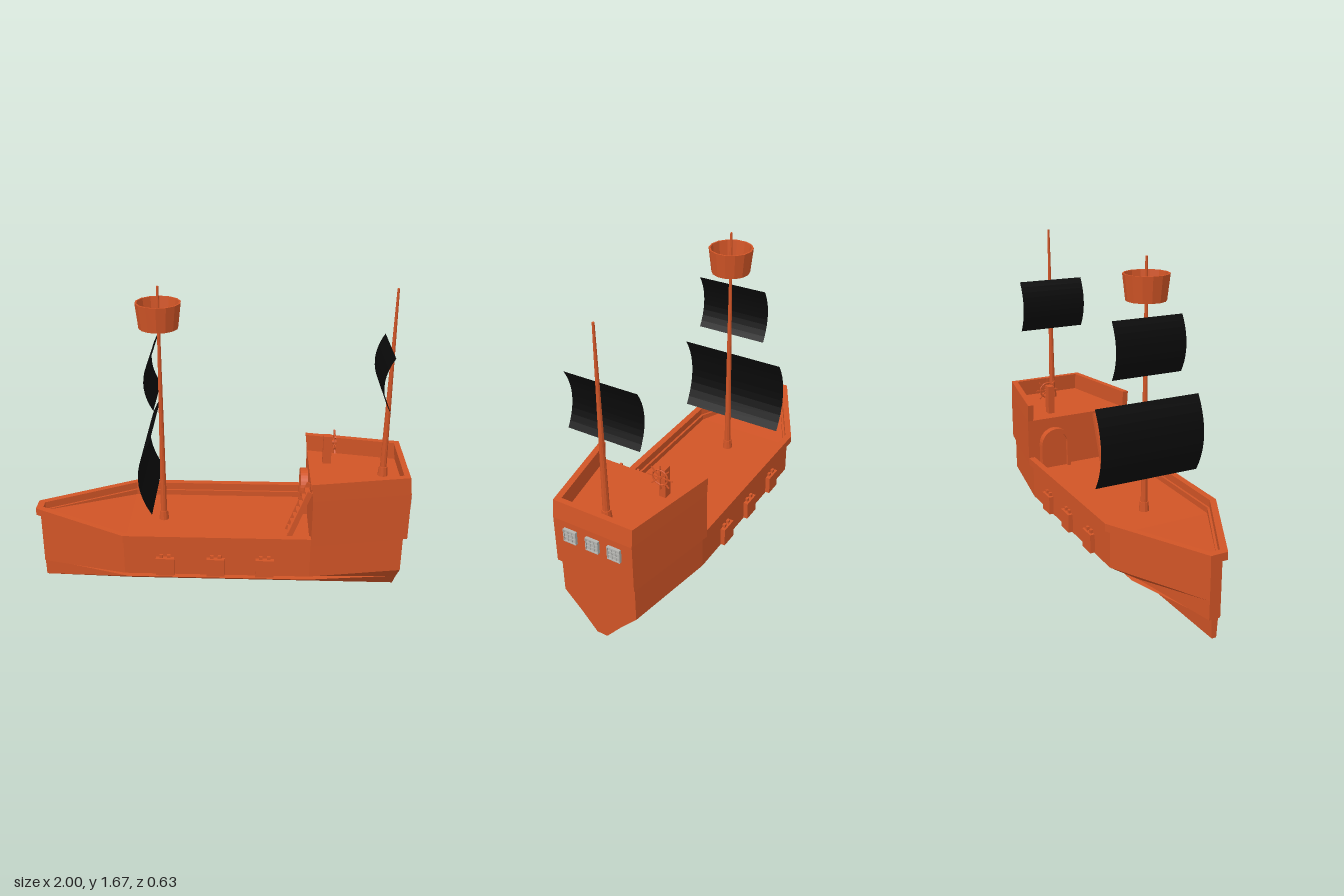
import * as THREE from 'three';

const paint = (color) => new THREE.MeshStandardMaterial({ color, flatShading: true, side: THREE.DoubleSide });

// Stations along the hull (bow to stern) for main hull and overhanging rail
const HULL_X = [-0.98, -0.49, 0.48, 0.965];
const HULL_W = [0.03, 0.29, 0.29, 0.21];
const RAIL_X = [-1, -0.49, 0.48, 0.985];
const RAIL_W = [0.045, 0.315, 0.315, 0.22];

// Mirrored deck outline: +z side bow to stern, then back along -z
function outline(xs, ws) {
  const half = xs.map((x, i) => new THREE.Vector2(x, ws[i]));
  return [...half, ...half.map((p) => new THREE.Vector2(p.x, -p.y)).reverse()];
}

// Upright prism from a plan outline, with optional hole
function prism(points, y0, y1, hole) {
  const shape = new THREE.Shape(points);
  if (hole) shape.holes.push(new THREE.Path(hole));
  const g = new THREE.ExtrudeGeometry(shape, { depth: y1 - y0, bevelEnabled: false });
  return g.rotateX(-Math.PI / 2).translate(0, y0, 0);
}

// Hull skin through levels of { y, w }, capped above and below
function loft(levels) {
  const rings = levels.map(({ y, w, bowY = y }) =>
    outline(HULL_X, w).map((p) => [p.x, p.x < -0.9 ? bowY : y, p.y]));
  const pos = [];
  const quad = (a, b, c, d) => pos.push(...a, ...b, ...c, ...a, ...c, ...d);
  for (let k = 0; k + 1 < rings.length; k++) {
    const lo = rings[k], hi = rings[k + 1];
    for (let i = 0; i < 8; i++) {
      const j = (i + 1) % 8;
      quad(lo[i], lo[j], hi[j], hi[i]);
    }
  }
  const bottom = rings[0], top = rings[rings.length - 1];
  for (let i = 0; i < 3; i++) {
    quad(top[i], top[i + 1], top[6 - i], top[7 - i]);
    quad(bottom[7 - i], bottom[6 - i], bottom[i + 1], bottom[i]);
  }
  const g = new THREE.BufferGeometry();
  g.setAttribute('position', new THREE.Float32BufferAttribute(pos, 3));
  g.computeVertexNormals();
  return g;
}

export function createModel() {
  const model = new THREE.Group();
  const wood = paint(0xd05426), cloth = paint(0x0a0a0a), glass = paint(0xb4b4b0);

  function add(name, geometry, x = 0, y = 0, z = 0, material = wood, parent = model) {
    const mesh = new THREE.Mesh(geometry, material);
    mesh.name = name;
    mesh.position.set(x, y, z);
    parent.add(mesh);
    return mesh;
  }
  function group(name, x, y, z) {
    const g = new THREE.Group();
    g.name = name;
    g.position.set(x, y, z);
    model.add(g);
    return g;
  }
  const box = (w, h, d) => new THREE.BoxGeometry(w, h, d);

  // Hull: keel tier, wider upper tier with the main deck on top
  add('keel', loft([
    { y: 0, w: [0.012, 0.03, 0.03, 0.03] },
    { y: 0.1, w: [0.018, 0.17, 0.17, 0.115] },
  ]));
  add('hull', loft([
    { y: 0.1, w: [0.03, 0.137, 0.137, 0.115] },
    { y: 0.2, w: HULL_W },
    { y: 0.37, w: HULL_W, bowY: 0.4 },
  ]));
  const well = [-0.95, -0.485, 0.48];
  add('bulwark', prism(outline(HULL_X, HULL_W), 0.37, 0.4, outline(well, [0.018, 0.268, 0.268])));
  add('rail', prism(outline(RAIL_X, RAIL_W), 0.4, 0.44, outline([-0.963, -0.487, 0.48], [0.025, 0.28, 0.28])));

  // Stern castle: solid block, then a U-shaped parapet open to the front
  const ox = RAIL_X.slice(2), ow = RAIL_W.slice(2);
  add('sternCastle', prism(outline(ox, ow), 0.44, 0.66));
  const parapet = prism([
    [0.48, 0.315], [0.985, 0.22], [0.985, -0.22], [0.48, -0.315],
    [0.48, -0.283], [0.955, -0.193], [0.955, 0.193], [0.48, 0.283],
  ].map(([x, z]) => new THREE.Vector2(x, z)), 0.66, 0.755);
  const pp = parapet.attributes.position;
  for (let i = 0; i < pp.count; i++) {
    if (pp.getY(i) > 0.7) pp.setX(i, pp.getX(i) - 0.011);
  }
  parapet.computeVertexNormals();
  add('parapet', parapet);

  // Stern windows with lattice bars
  for (const z of [0.122, -0.004, -0.125]) {
    const win = group('sternWindow', 0.985, 0.59, z);
    add('pane', box(0.016, 0.066, 0.066), 0, 0, 0, glass, win);
    for (const s of [-1, 1]) {
      add('frameSide', box(0.03, 0.07, 0.005), 0, 0, s * 0.033, glass, win);
      add('frameEdge', box(0.03, 0.005, 0.07), 0, s * 0.033, 0, glass, win);
      add('barUpright', box(0.024, 0.066, 0.004), 0, 0, s * 0.011, glass, win);
      add('barAcross', box(0.024, 0.004, 0.066), 0, s * 0.011, 0, glass, win);
    }
  }

  // Gun ports with hinges, three on each side
  for (const s of [-1, 1]) {
    for (const x of [-0.275, -0.01, 0.245]) {
      const port = group('gunPort', x, 0.255, s * 0.3);
      add('portLid', box(0.095, 0.1, 0.03), 0, 0, 0, wood, port);
      for (const h of [-0.02, 0.02]) add('hinge', box(0.018, 0.02, 0.016), h, 0.057, -s * 0.004, wood, port);
    }
  }

  // Arched door on the castle front
  const arch = (r, straight) => {
    const s = new THREE.Shape();
    s.moveTo(-r, 0);
    s.lineTo(r, 0);
    s.lineTo(r, straight);
    s.absarc(0, straight, r, 0, Math.PI, false);
    return s;
  };
  const frame = arch(0.088, 0.147);
  frame.holes.push(arch(0.068, 0.147));
  const door = group('door', 0.485, 0.368, -0.16);
  const slab = (shape, depth) => new THREE.ExtrudeGeometry(shape, { depth, bevelEnabled: false, curveSegments: 8 })
    .rotateY(-Math.PI / 2);
  add('doorFrame', slab(frame, 0.045), 0, 0, 0, wood, door);
  add('doorPanel', slab(arch(0.07, 0.147), 0.025), 0, 0, 0, wood, door);

  // Ladder leaning on the castle
  const ladder = group('ladder', 0.42, 0.51, 0.145);
  ladder.rotation.z = -0.36;
  for (const s of [-1, 1]) add('ladderRail', box(0.025, 0.3, 0.012), 0, 0, s * 0.052, wood, ladder);
  for (let i = 0; i < 7; i++) {
    add('rung', box(0.025, 0.01, 0.1), 0, -0.12 + i * 0.04, 0, wood, ladder).rotation.z = 0.36;
  }

  // Steering wheel on its post
  add('wheelPost', box(0.045, 0.16, 0.036), 0.578, 0.74, -0.137);
  const wheel = group('wheel', 0.615, 0.785, -0.137);
  add('wheelRim', new THREE.TorusGeometry(0.042, 0.005, 6, 16).rotateY(Math.PI / 2), 0, 0, 0, wood, wheel);
  add('wheelHub', new THREE.CylinderGeometry(0.01, 0.01, 0.035, 8).rotateZ(Math.PI / 2), -0.008, 0, 0, wood, wheel);
  for (let i = 0; i < 4; i++) {
    add('spoke', box(0.006, 0.136, 0.006), 0, 0, 0, wood, wheel).rotation.x = i * Math.PI / 4;
  }

  // Masts with sockets
  for (const [name, x, base] of [['foreMast', -0.305, 0.37], ['rearMast', 0.865, 0.66]]) {
    const h = 1.67 - base;
    add(name, new THREE.CylinderGeometry(0.006, 0.018, h, 10), x, base + h / 2, 0);
    add(name + 'Socket', new THREE.CylinderGeometry(0.022, 0.027, 0.05, 10), x, base + 0.025, 0);
  }

  // Crow's nest
  const tub = [[0, 1.46], [0.1, 1.46], [0.115, 1.59], [0.106, 1.59], [0.092, 1.475], [0, 1.475]];
  add('lookoutTub', new THREE.LatheGeometry(tub.map(([r, y]) => new THREE.Vector2(r, y)), 14), -0.305, 0, 0);

  // Sails bellying towards the bow
  function sail(name, x, y, w, h, belly) {
    const g = new THREE.PlaneGeometry(w, h, 1, 10).rotateY(Math.PI / 2);
    const p = g.attributes.position;
    for (let i = 0; i < p.count; i++) p.setX(i, -belly * (1 - (2 * p.getY(i) / h) ** 2));
    g.computeVertexNormals();
    add(name, g, x, y, 0, cloth);
  }
  sail('mainSail', -0.335, 0.76, 0.58, 0.41, 0.065);
  sail('topSail', -0.322, 1.235, 0.385, 0.29, 0.045);
  sail('rearSail', 0.85, 1.235, 0.385, 0.29, 0.045);

  return model;
}
